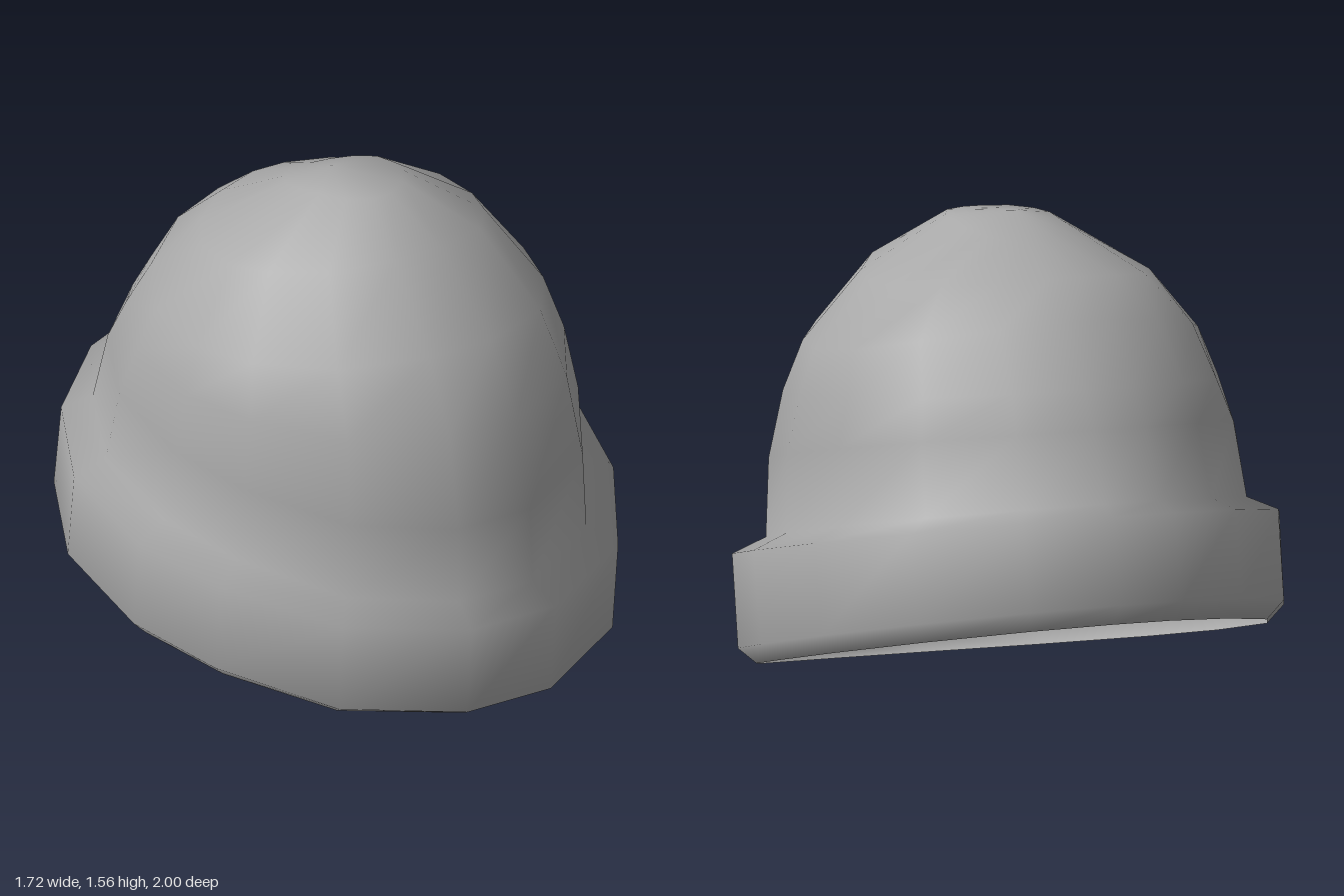
import * as THREE from 'three';

// Slightly irregular 16-sided oval seen from above: [x, z], starting at the front
const OUTLINE = [
  [-0.14, 0.99], [0.18, 0.99], [0.55, 0.78], [0.77, 0.4], [0.85, 0.07], [0.83, -0.34],
  [0.65, -0.68], [0.36, -0.91], [0.08, -1], [-0.14, -1], [-0.41, -0.89], [-0.68, -0.64],
  [-0.85, -0.29], [-0.86, 0.12], [-0.75, 0.44], [-0.51, 0.8],
].map(([x, z]) => [x / 0.855, z / 0.995]);

// Tilted rings: [front z, front y, back z, back y, half width, side y]
const CUFF = [
  [0.9, 0, -0.94, 0.34, 0.8, 0.155],
  [0.975, 0.035, -1.0, 0.41, 0.855, 0.21],
  [1.0, 0.34, -0.945, 0.69, 0.86, 0.51],
];
const CROWN = [
  [0.9, 0.395, -0.86, 0.72, 0.75, 0.56],
  [0.89, 0.65, -0.78, 0.95, 0.73, 0.81],
  [0.825, 0.95, -0.7, 1.07, 0.685, 0.99],
  [0.69, 1.18, -0.56, 1.27, 0.635, 1.14],
  [0.45, 1.42, -0.4, 1.39, 0.47, 1.355],
  [0.24, 1.545, -0.2, 1.48, 0.18, 1.535],
];
const APEX = [-0.03, 1.56, -0.01];

// Skin the rings from bottom to top and close them at the apex
function loft(rings, apex) {
  const n = OUTLINE.length, pos = [], index = [];
  for (const [zf, yf, zb, yb, w, ys] of rings) {
    const mid = (yf + yb) / 2;
    for (const [ox, oz] of OUTLINE) {
      const y = mid + (oz * (yf - yb)) / 2 + (ys - mid) * (1 - oz * oz);
      pos.push(ox * w, y, (zf + zb) / 2 + (oz * (zf - zb)) / 2);
    }
  }
  pos.push(...apex);
  const last = (rings.length - 1) * n;
  for (let i = 0; i < n; i++) {
    const j = (i + 1) % n;
    index.push(last + i, last + j, last + n);
    for (let r = 0; r < last; r += n) {
      index.push(r + i, r + j, r + j + n, r + i, r + j + n, r + i + n);
    }
  }
  const g = new THREE.BufferGeometry();
  g.setAttribute('position', new THREE.Float32BufferAttribute(pos, 3));
  g.setIndex(index);
  g.computeVertexNormals();
  return g;
}

export function createModel() {
  const group = new THREE.Group();
  group.name = 'knitCap';
  const wool = new THREE.MeshStandardMaterial({ color: 0xa8a8a8, side: THREE.DoubleSide });
  wool.name = 'greyWool';

  // One thin open skin: rim, folded cuff, then the crown
  const cap = new THREE.Mesh(loft([...CUFF, ...CROWN], APEX), wool);
  cap.name = 'cuffAndCrown';
  group.add(cap);
  return group;
}
